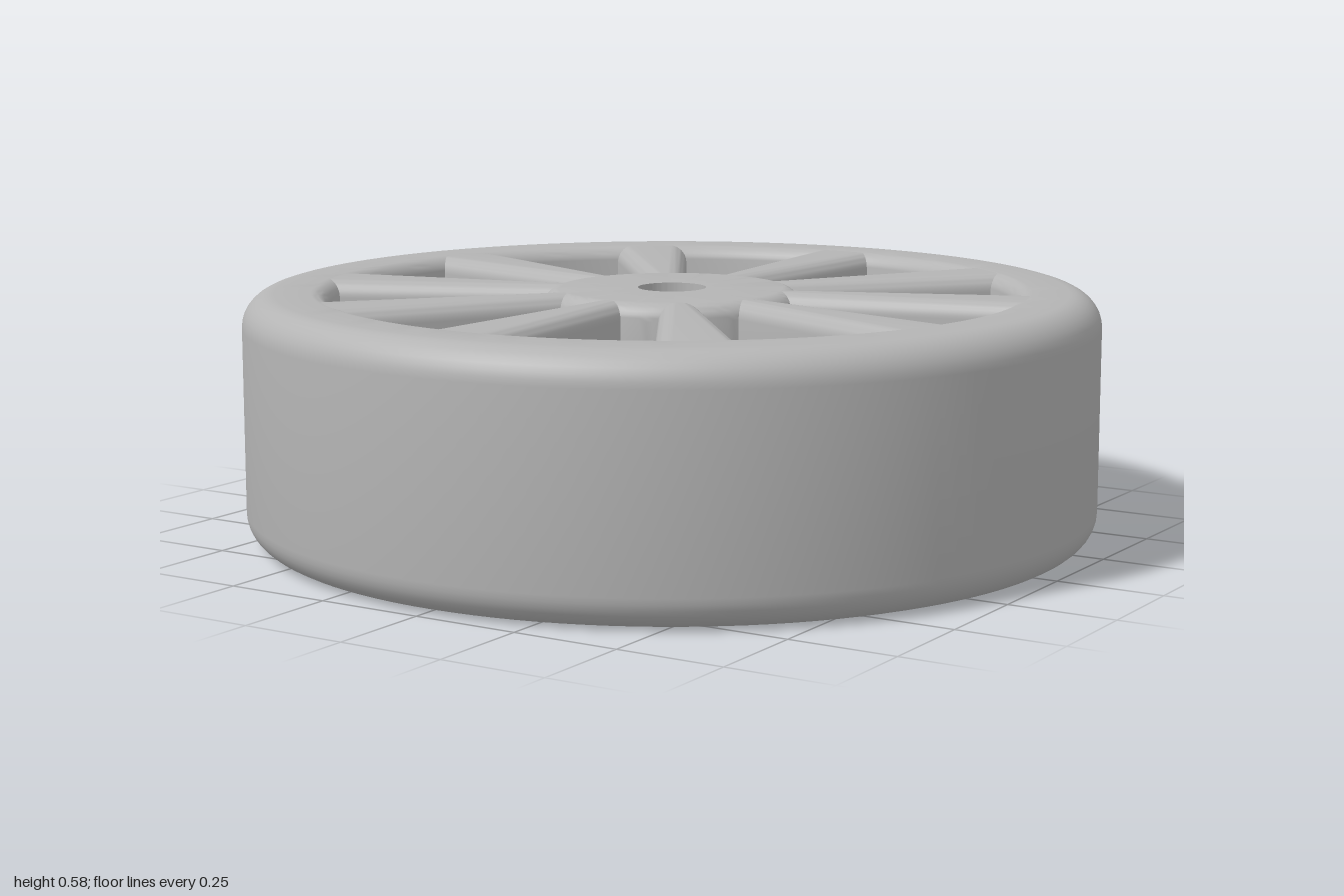
import * as THREE from 'three';
import { toCreasedNormals } from 'three/addons/utils/BufferGeometryUtils.js';

const HEIGHT = 0.58, WEB_BOTTOM = 0.4, SPOKES = 10, FILLET = 0.04;

// Quarter-circle of profile points from angle a to a + 90 degrees
function corner(cx, cy, r, a, n = 8) {
  return Array.from({ length: n + 1 }, (_, i) => {
    const t = a + (i / n) * Math.PI / 2;
    return [cx + r * Math.cos(t), cy + r * Math.sin(t)];
  });
}

// Closed ring turned from a counter-clockwise profile, with sharp corners kept
function ring(name, profile, material) {
  const points = [...profile, profile[0]].map(([x, y]) => new THREE.Vector2(x, y));
  const geometry = toCreasedNormals(new THREE.LatheGeometry(points, 120), 0.6);
  const mesh = new THREE.Mesh(geometry, material);
  mesh.name = name;
  return mesh;
}

// Spoke with rounded top edges, widening from hub to rim
function spokeGeometry() {
  const inner = 0.22, outer = 0.86, w = 0.044, top = HEIGHT - 0.0005, bottom = WEB_BOTTOM + 0.0005;
  const section = [
    [-w, bottom], [w, bottom],
    ...corner(w - FILLET, top - FILLET, FILLET, 0),
    ...corner(-w + FILLET, top - FILLET, FILLET, Math.PI / 2),
  ].map(([x, y]) => new THREE.Vector2(x, y));
  const geometry = new THREE.ExtrudeGeometry(new THREE.Shape(section), { depth: outer - inner, bevelEnabled: false });
  const p = geometry.attributes.position;
  for (let i = 0; i < p.count; i++) {
    p.setX(i, p.getX(i) + Math.sign(p.getX(i)) * p.getZ(i) * 0.08);
  }
  geometry.translate(0, 0, inner);
  return toCreasedNormals(geometry, 0.6);
}

export function createModel() {
  const grey = new THREE.MeshStandardMaterial({ color: 0xb4b4b4 });
  grey.name = 'grey';
  const wheel = new THREE.Group();
  wheel.name = 'wheel';

  // Rim: rounded tread edges and a softened inner top edge
  const round = 0.075;
  wheel.add(ring('rim', [
    [0.8, 0],
    ...corner(1 - round, round, round, -Math.PI / 2),
    ...corner(1 - round, HEIGHT - round, round, 0),
    ...corner(0.8 + FILLET, HEIGHT - FILLET, FILLET, Math.PI / 2),
  ], grey));

  // Hub: wide flange on top, narrower boss below, axle bore through both
  wheel.add(ring('hub', [
    [0.08, 0.075], [0.2, 0.075], [0.2, WEB_BOTTOM], [0.3, WEB_BOTTOM],
    ...corner(0.3 - FILLET, HEIGHT - FILLET, FILLET, 0),
    [0.08, HEIGHT],
  ], grey));

  // Spokes
  const geometry = spokeGeometry();
  for (let i = 0; i < SPOKES; i++) {
    const spoke = new THREE.Mesh(geometry, grey);
    spoke.name = `spoke${i + 1}`;
    spoke.rotation.y = (i / SPOKES) * Math.PI * 2;
    wheel.add(spoke);
  }
  return wheel;
}
